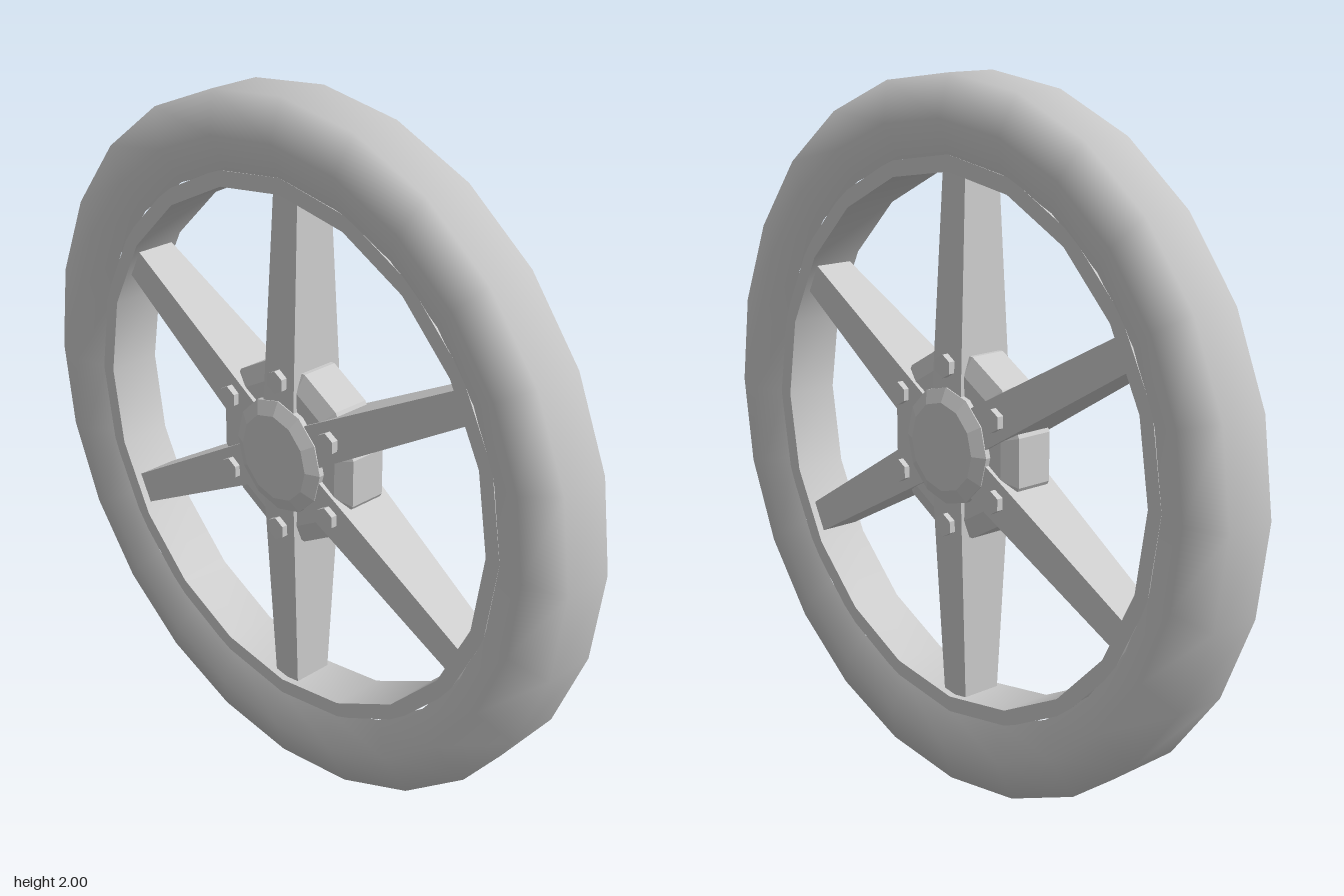
import * as THREE from 'three';
import { toCreasedNormals } from 'three/addons/utils/BufferGeometryUtils.js';

const smoothMat = new THREE.MeshStandardMaterial({ color: 0xcccccc });
const flatMat = new THREE.MeshStandardMaterial({ color: 0xcccccc, flatShading: true });

// Lathe a [radius, z] profile about the wheel axis (z)
function turned(profile, sides, phase = 0) {
  const points = profile.map(([r, z]) => new THREE.Vector2(r, z));
  return new THREE.LatheGeometry(points, sides, phase).rotateX(Math.PI / 2);
}

// Spoke running up +y, tapering in width and depth towards the rim
function spokeGeometry() {
  const inner = 0.12, outer = 0.752;
  const geo = new THREE.BoxGeometry(1, 1, 1);
  const p = geo.attributes.position;
  for (let i = 0; i < p.count; i++) {
    const tip = p.getY(i) > 0;
    p.setXYZ(i,
      p.getX(i) * (tip ? 0.09 : 0.12),
      tip ? outer : inner,
      p.getZ(i) * (tip ? 0.118 : 0.178));
  }
  geo.computeVertexNormals();
  return geo;
}

export function createModel() {
  const group = new THREE.Group();
  const wheel = new THREE.Group();
  wheel.name = 'wheel';
  wheel.position.y = 1;
  group.add(wheel);

  const add = (name, geo, mat, parent = wheel) => {
    const mesh = new THREE.Mesh(geo, mat);
    mesh.name = name;
    parent.add(mesh);
    return mesh;
  };

  // Rounded tyre
  add('tyre', turned([
    [0.785, -0.078], [0.885, -0.11], [1, -0.075],
    [1, 0.075], [0.885, 0.11], [0.785, 0.078],
  ], 24), smoothMat);

  // Inner rim ring
  const rim = turned([
    [0.745, -0.08], [0.79, -0.08], [0.79, 0.08], [0.745, 0.08], [0.745, -0.08],
  ], 20);
  add('rim', toCreasedNormals(rim, 0.6), smoothMat);

  // Hub drum with bevelled shoulders
  add('hub', turned([
    [0, -0.075], [0.212, -0.075], [0.265, -0.055],
    [0.265, 0.055], [0.212, 0.075], [0, 0.075],
  ], 12, Math.PI / 12), flatMat);

  // Bevelled axle caps, front and back
  add('axleCaps', turned([
    [0, -0.108], [0.125, -0.108], [0.165, -0.09],
    [0.165, 0.09], [0.125, 0.108], [0, 0.108],
  ], 12), flatMat);

  // Six spokes, each with a hex bolt on both faces
  const spoke = spokeGeometry();
  const bolt = new THREE.CylinderGeometry(0.033, 0.033, 0.03, 6).rotateX(Math.PI / 2);
  for (let i = 0; i < 6; i++) {
    const arm = new THREE.Group();
    arm.name = 'spokeArm';
    arm.rotation.z = (i * Math.PI) / 3;
    wheel.add(arm);
    add('spoke', spoke, flatMat, arm);
    for (const side of [-1, 1]) {
      add('bolt', bolt, flatMat, arm).position.set(0, 0.225, side * 0.087);
    }
  }
  return group;
}
